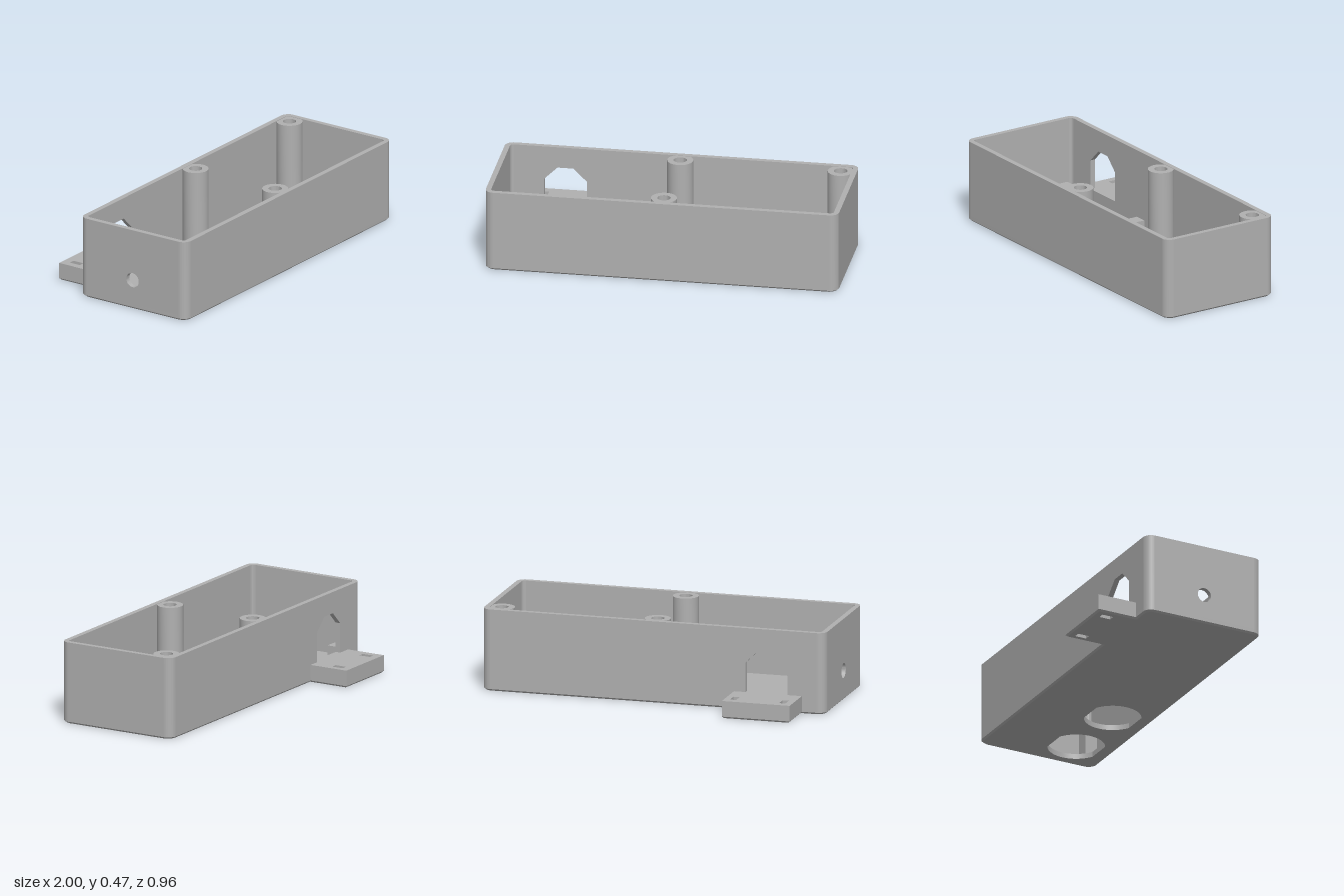
import * as THREE from 'three';
import { toCreasedNormals } from 'three/addons/utils/BufferGeometryUtils.js';

const X = 1, Z0 = -0.245, Z1 = 0.48;         // outer footprint
const H = 0.468, WALL = 0.03, FLOOR = 0.03;  // heights and thicknesses
const R = 0.05, CHAMFER = 0.01;

function polygon(points) {
  return new THREE.Shape(points.map(([x, y]) => new THREE.Vector2(x, y)));
}

function rect(x0, y0, x1, y1) {
  return polygon([[x0, y0], [x1, y0], [x1, y1], [x0, y1]]);
}

function circle(x, y, r) {
  return new THREE.Shape().absarc(x, y, r, 0, Math.PI * 2, false);
}

// Extrude a plan drawn in (x, z) upward from y0 to y1
function slab(shape, y0, y1, steps = 1) {
  const g = new THREE.ExtrudeGeometry(shape, { depth: y1 - y0, steps, bevelEnabled: false, curveSegments: 16 });
  return g.rotateX(Math.PI / 2).translate(0, y1, 0);
}

// Pull the bottom outline inward to make a chamfer, leaving holes alone
function chamferBottom(g, cx, cz, hx, hz, margin) {
  const p = g.attributes.position;
  for (let i = 0; i < p.count; i++) {
    if (p.getY(i) > 0.001) continue;
    const dx = p.getX(i) - cx, dz = p.getZ(i) - cz;
    if (Math.abs(dx) < hx - margin && Math.abs(dz) < hz - margin) continue;
    p.setX(i, cx + dx * (1 - CHAMFER / hx));
    p.setZ(i, cz + dz * (1 - CHAMFER / hz));
  }
  return g;
}

export function createModel() {
  const group = new THREE.Group();
  const grey = new THREE.MeshStandardMaterial({ color: 0xb0b0b0 });
  grey.name = 'grey plastic';

  function add(name, geometry) {
    const mesh = new THREE.Mesh(toCreasedNormals(geometry, 0.5), grey);
    mesh.name = name;
    group.add(mesh);
  }

  const cx = X - R, cz0 = Z0 + R, cz1 = Z1 - R;

  // Floor with rounded corners and two round openings with flattened sides
  const floor = new THREE.Shape();
  floor.absarc(cx, cz1, R, 0, Math.PI / 2, false);
  floor.absarc(-cx, cz1, R, Math.PI / 2, Math.PI, false);
  floor.absarc(-cx, cz0, R, Math.PI, Math.PI * 1.5, false);
  floor.absarc(cx, cz0, R, Math.PI * 1.5, Math.PI * 2, false);
  const flat = Math.asin(0.143 / 0.161);
  for (const x of [0.35, 0.78]) {
    const hole = new THREE.Path();
    hole.absarc(x, 0.258, 0.161, -flat, flat, false);
    hole.absarc(x, 0.258, 0.161, Math.PI - flat, Math.PI + flat, false);
    hole.closePath();
    floor.holes.push(hole);
  }
  add('floor', chamferBottom(slab(floor, 0, FLOOR, 3), 0, (Z0 + Z1) / 2, X, (Z1 - Z0) / 2, 0.03));

  // Rounded wall corners
  const corners = [[cx, cz1], [-cx, cz1], [-cx, cz0], [cx, cz0]];
  corners.forEach(([x, z], i) => {
    const a = i * Math.PI / 2, b = a + Math.PI / 2;
    const s = new THREE.Shape();
    s.absarc(x, z, R, a, b, false);
    s.absarc(x, z, R - WALL, b, a, true);
    s.closePath();
    add('wallCorner', slab(s, FLOOR, H));
  });

  // Plain walls
  add('frontWall', slab(rect(-cx, Z1 - WALL, cx, Z1), FLOOR, H));
  add('leftWall', slab(rect(X - WALL, cz0, X, cz1), FLOOR, H));

  // Back wall with a chamfered opening above the tab
  const back = rect(-cx, FLOOR, cx, H);
  const ox = -0.66;
  back.holes.push(polygon([
    [ox - 0.122, 0.1], [ox - 0.122, 0.27], [ox - 0.045, 0.345],
    [ox + 0.045, 0.345], [ox + 0.122, 0.27], [ox + 0.122, 0.1],
  ]));
  add('backWall', new THREE.ExtrudeGeometry(back, { depth: WALL, bevelEnabled: false }).translate(0, 0, Z0));

  // Right end wall with a small round cable hole
  const end = rect(cz0, FLOOR, cz1, H);
  end.holes.push(circle(0.117, 0.17, 0.042));
  add('rightWall', new THREE.ExtrudeGeometry(end, { depth: WALL, bevelEnabled: false, curveSegments: 16 })
    .rotateY(-Math.PI / 2).translate(-X + WALL, 0, 0));

  // Tab behind the back wall with two tie slots
  const tab = rect(-0.865, -0.48, -0.47, Z0 + 0.02);
  for (const x of [-0.808, -0.522]) tab.holes.push(rect(x - 0.018, -0.435, x + 0.018, -0.367));
  add('mountingTab', chamferBottom(slab(tab, 0, 0.1, 10), -0.6675, -0.3525, 0.1975, 0.1275, 0.005));

  // Full-height screw bosses
  for (const [x, z] of [[0, -0.158], [0.908, -0.158], [0, 0.385]]) {
    const ring = circle(x, z, 0.073);
    ring.holes.push(circle(x, z, 0.037));
    add('screwBoss', slab(ring, FLOOR, H - 0.002));
  }

  // Low square pegs in the right half
  for (const x of [-0.915, -0.225]) {
    for (const z of [-0.138, 0.37]) {
      add('boardPeg', slab(rect(x - 0.037, z - 0.036, x + 0.037, z + 0.036), FLOOR, 0.1));
    }
  }

  // Taller posts around the floor openings
  for (const [x0, x1] of [[0.183, 0.237], [0.893, 0.972]]) {
    for (const [z0, z1] of [[0.085, 0.14], [0.378, 0.452]]) {
      add('sensorPost', slab(rect(x0, z0, x1, z1), FLOOR, 0.195));
    }
  }
  return group;
}
